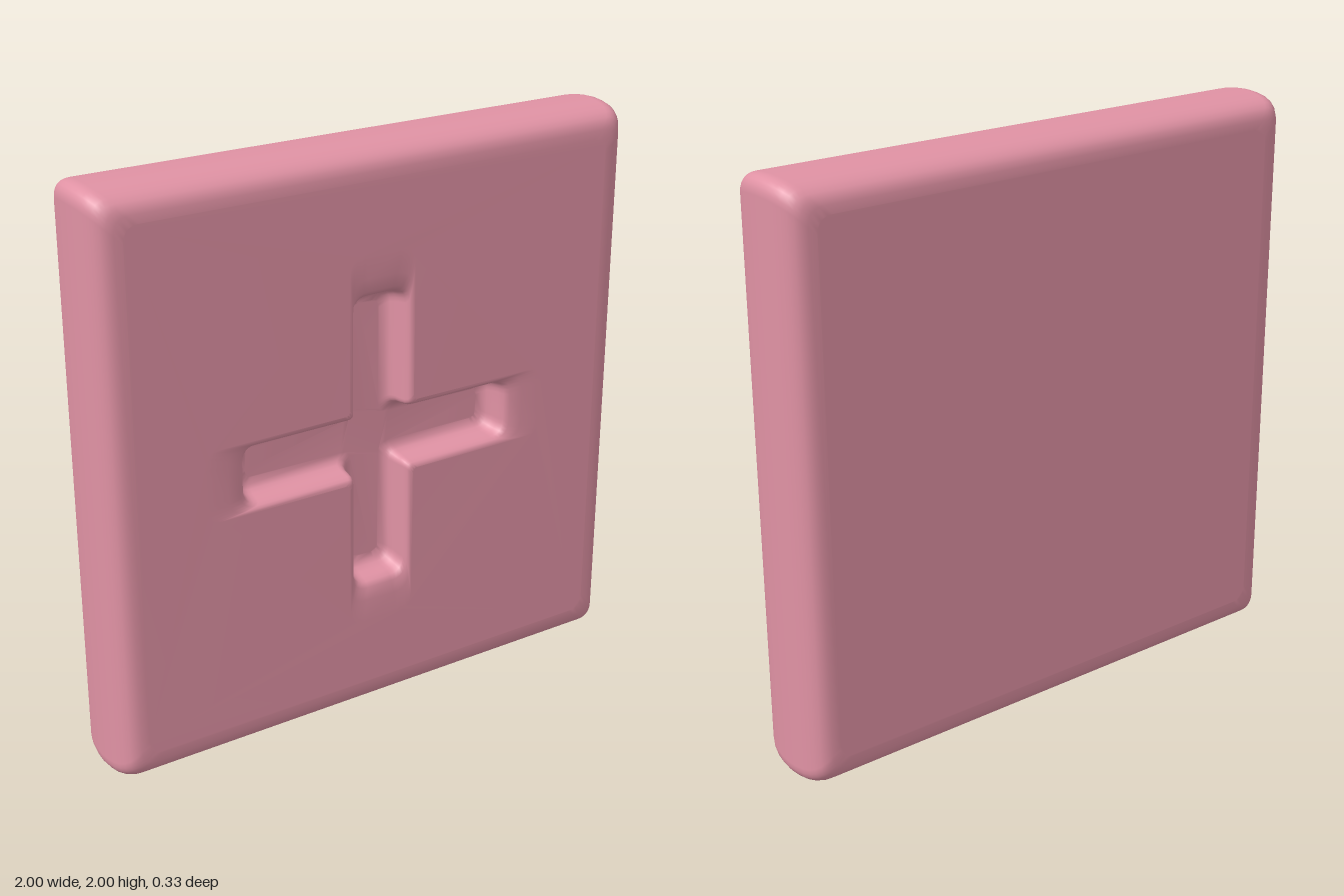
import * as THREE from 'three';
import { mergeGeometries, mergeVertices } from 'three/addons/utils/BufferGeometryUtils.js';

// Outline with every corner rounded; radius(i) gives each corner's size.
function roundedOutline(corners, radius, steps = 6) {
  const n = corners.length, out = [];
  corners.forEach((c, i) => {
    const toward = (p) => p.clone().sub(c).setLength(radius(i)).add(c);
    const curve = new THREE.QuadraticBezierCurve(
      toward(corners[(i + n - 1) % n]), c, toward(corners[(i + 1) % n]));
    out.push(...curve.getPoints(steps));
  });
  return out;
}

const quarterTurns = (pts) => [0, 1, 2, 3].flatMap((k) =>
  pts.map(([x, y]) => new THREE.Vector2(x, y).rotateAround(new THREE.Vector2(), k * Math.PI / 2)));

const square = (half, r) => roundedOutline(quarterTurns([[half, half]]), () => r);

// Cross outline: two tip corners, then one inner corner, per quarter.
const cross = (w, len, tipR, innerR) => roundedOutline(
  quarterTurns([[len, -w], [len, w], [w, w]]), (i) => (i % 3 === 2 ? innerR : tipR));

// Skin between successive rings of equal point count.
function loft(rings) {
  const pos = [], index = [], n = rings[0].pts.length;
  rings.forEach(({ pts, z }) => pts.forEach((p) => pos.push(p.x, p.y, z)));
  for (let i = 0; i < rings.length - 1; i++) {
    for (let j = 0; j < n; j++) {
      const k = (j + 1) % n, a = i * n + j, b = i * n + k;
      index.push(a, b, b + n, a, b + n, a + n);
    }
  }
  const g = new THREE.BufferGeometry();
  g.setAttribute('position', new THREE.Float32BufferAttribute(pos, 3));
  g.setIndex(index);
  return g;
}

function flatFace(pts, z, hole) {
  const shape = new THREE.Shape(pts);
  if (hole) shape.holes.push(new THREE.Path(hole));
  return new THREE.ShapeGeometry(shape).translate(0, 0, z);
}

export function createModel() {
  const group = new THREE.Group();
  const T = 0.165;

  // Crowned edge: [inset, z] from the middle to the front face
  const edge = [[0, 0], [0.002, 0.04], [0.007, 0.08], [0.014, 0.107], [0.023, 0.128],
    [0.036, 0.146], [0.052, 0.157], [0.072, 0.163], [0.1, T]];
  const profile = [...edge.slice(1).reverse().map(([d, z]) => [d, -z]), ...edge];
  const rim = profile.map(([d, z]) => ({ pts: square(1 - d, 0.055), z }));

  // Cross recess: soft dip past the tips, rounded lip, wall, rounded floor
  const recess = [
    [0.125, 0.66, 0.06, 0.02, T],
    [0.115, 0.58, 0.06, 0.02, 0.163],
    [0.108, 0.535, 0.06, 0.02, 0.156],
    [0.102, 0.518, 0.055, 0.022, 0.143],
    [0.098, 0.51, 0.05, 0.025, 0.12],
    [0.095, 0.505, 0.05, 0.028, 0.095],
    [0.088, 0.496, 0.045, 0.032, 0.074],
    [0.075, 0.482, 0.04, 0.036, 0.062],
    [0.055, 0.462, 0.03, 0.04, 0.057],
  ].map(([w, len, tip, inner, z]) => ({ pts: cross(w, len, tip, inner), z }));

  const front = rim[rim.length - 1], floor = recess[recess.length - 1];
  const pieces = [
    loft(rim),
    flatFace(front.pts, T, recess[0].pts),
    flatFace(front.pts, T).rotateY(Math.PI),
    loft(recess),
    flatFace(floor.pts, floor.z),
  ].map((g) => {
    g.deleteAttribute('uv');
    g.deleteAttribute('normal');
    return g;
  });

  // Weld so shading runs smoothly over the whole tile
  const geometry = mergeVertices(mergeGeometries(pieces), 1e-4);
  geometry.computeVertexNormals();

  const tile = new THREE.Mesh(geometry, new THREE.MeshStandardMaterial({ color: 0xe092a4 }));
  tile.name = 'tileWithCrossRecess';
  tile.position.y = 1;
  group.add(tile);
  return group;
}
